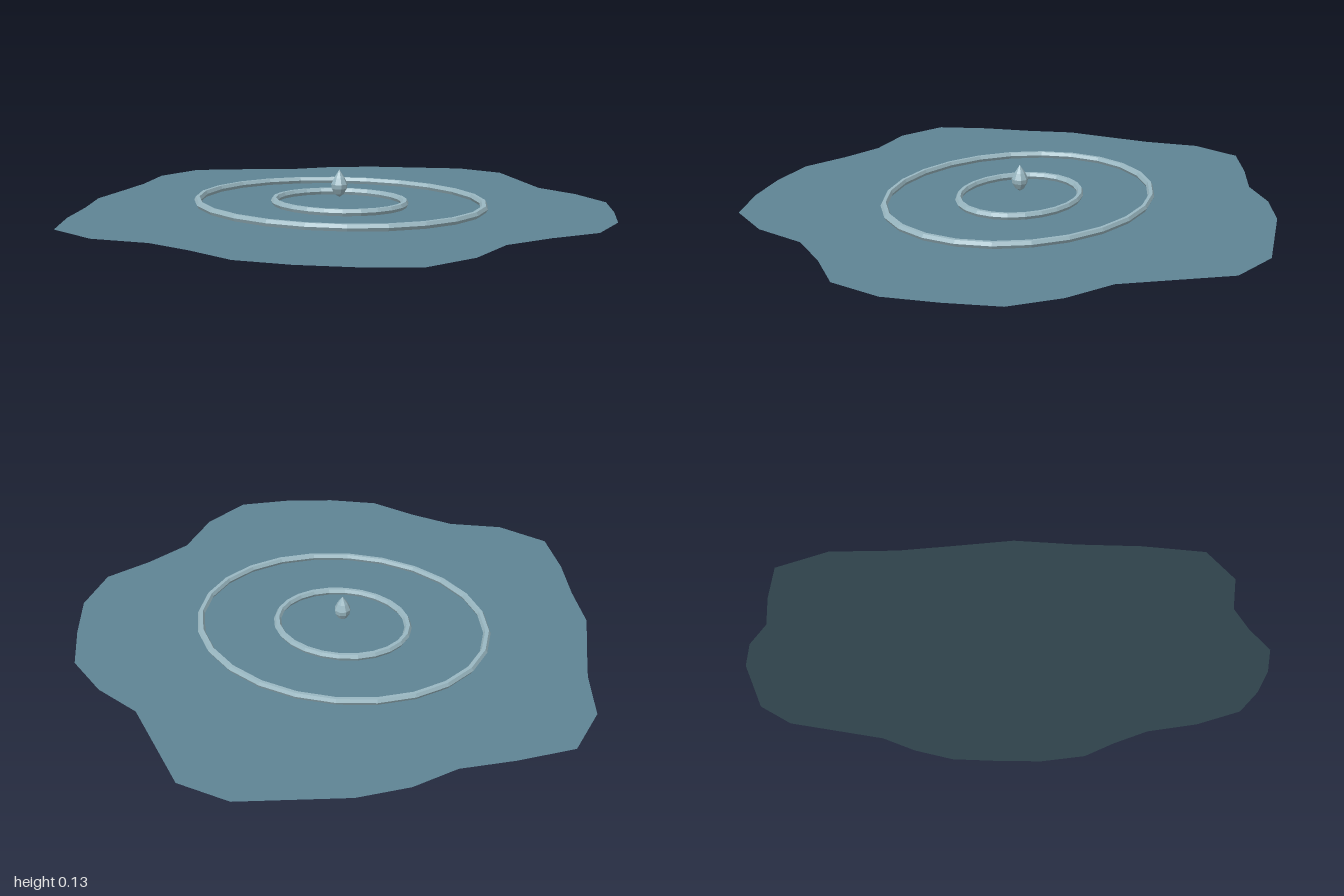
import * as THREE from 'three';

const CENTRE_Z = 0.04;

export function createModel() {
  const group = new THREE.Group();
  const water = new THREE.MeshStandardMaterial({ color: 0x5f8494, side: THREE.DoubleSide });
  water.name = 'water blue';
  const highlight = new THREE.MeshStandardMaterial({ color: 0x9ab8c2, flatShading: true });
  highlight.name = 'pale ripple blue';

  const add = (name, geometry, material, y = 0, z = 0) => {
    const mesh = new THREE.Mesh(geometry, material);
    mesh.name = name;
    mesh.position.set(0, y, z);
    group.add(mesh);
  };

  // Puddle: flat sheet with an uneven shoreline, as [x, z]
  const shore = [
    [0, -0.99], [0.2, -0.97], [0.49, -0.69], [0.67, -0.625], [0.83, -0.515], [0.92, -0.34],
    [0.995, -0.16], [1, 0.04], [0.895, 0.2], [0.81, 0.37], [0.805, 0.58], [0.73, 0.77],
    [0.56, 0.87], [0.38, 0.94], [0.19, 0.98], [0, 0.94], [-0.175, 0.92], [-0.38, 0.965],
    [-0.585, 0.915], [-0.69, 0.74], [-0.77, 0.56], [-0.86, 0.39], [-0.895, 0.21], [-0.93, 0.04],
    [-1, -0.16], [-0.97, -0.365], [-0.8, -0.49], [-0.63, -0.595], [-0.515, -0.73], [-0.36, -0.84],
  ];
  const outline = new THREE.Shape(shore.map(([x, z]) => new THREE.Vector2(x, -z)));
  add('puddle', new THREE.ShapeGeometry(outline).rotateX(-Math.PI / 2), water);

  // Ripples: oval rings lying on the water
  for (const [name, radius] of [['innerRipple', 0.25], ['outerRipple', 0.547]]) {
    const ring = new THREE.TorusGeometry(radius, 0.014, 6, 24)
      .rotateX(-Math.PI / 2)
      .scale(1, 1, 0.86);
    add(name, ring, highlight, 0.0135, CENTRE_Z);
  }

  // Falling drop: rounded base, pointed tip
  const profile = [[0, 0.03], [0.017, 0.041], [0.029, 0.062], [0.031, 0.078], [0.02, 0.102], [0, 0.132]];
  const drop = new THREE.LatheGeometry(profile.map(([r, y]) => new THREE.Vector2(r, y)), 8);
  add('waterDrop', drop, highlight, 0, CENTRE_Z);

  return group;
}
